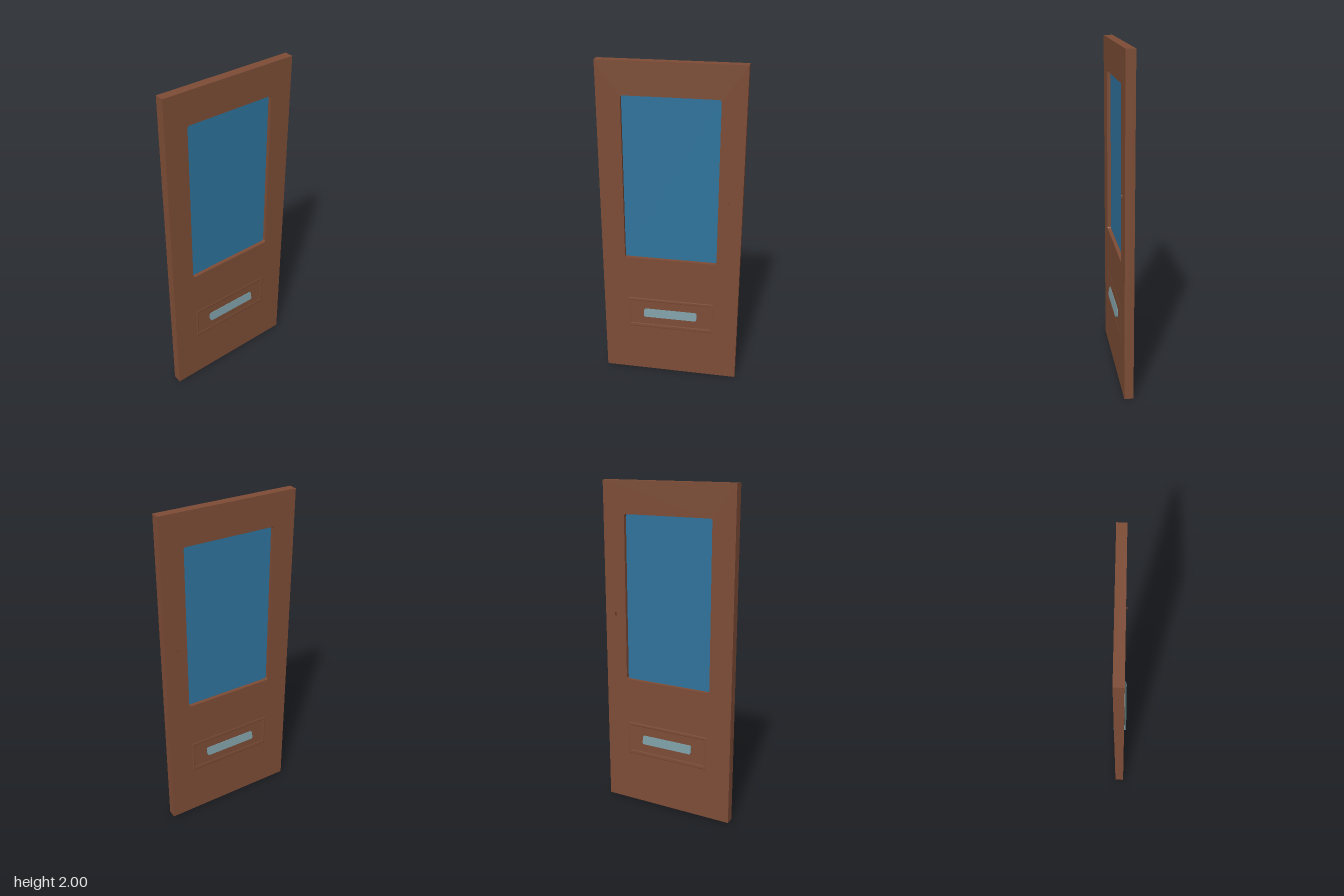
import * as THREE from 'three';

const flat = (name, color) => new THREE.MeshStandardMaterial({ name, color });
const wood = flat('brown wood', 0x7d4c36);
const glass = flat('blue glass', 0x2e739c);
const metal = flat('grey metal', 0x78979f);
const keyMetal = flat('dark brown metal', 0x6b402e);
keyMetal.side = THREE.DoubleSide;

// Rectangle outline with rounded corners, usable as a shape or a hole
function roundedRect(x0, y0, x1, y1, r, Type = THREE.Shape) {
  const s = new Type();
  s.moveTo(x0 + r, y0);
  s.lineTo(x1 - r, y0).quadraticCurveTo(x1, y0, x1, y0 + r);
  s.lineTo(x1, y1 - r).quadraticCurveTo(x1, y1, x1 - r, y1);
  s.lineTo(x0 + r, y1).quadraticCurveTo(x0, y1, x0, y1 - r);
  s.lineTo(x0, y0 + r).quadraticCurveTo(x0, y0, x0 + r, y0);
  return s;
}

function rect(x0, y0, x1, y1, Type = THREE.Shape) {
  return new Type([[x0, y0], [x1, y0], [x1, y1], [x0, y1]].map(p => new THREE.Vector2(...p)));
}

function add(group, name, geometry, material) {
  const mesh = new THREE.Mesh(geometry, material);
  mesh.name = name;
  group.add(mesh);
  return mesh;
}

// Fittings for one face of the door; dir = 1 puts the keyhole on +x
function makeFittings(keySide) {
  const g = new THREE.Group();

  // Shallow ridged frame around the letter slot
  const frame = rect(-0.262, 0.323, 0.262, 0.523);
  frame.holes.push(rect(-0.257, 0.338, 0.257, 0.513, THREE.Path));
  const frameGeo = new THREE.ExtrudeGeometry(frame, {
    depth: 0.001, bevelEnabled: true, bevelSegments: 1, bevelSize: 0.008, bevelThickness: 0.002,
  });
  frameGeo.translate(0, 0, 0.0255);
  add(g, 'panelMoulding', frameGeo, wood);

  // Letter flap: thin at the top, leaning outwards at the bottom
  const bottom = 0.403, top = 0.456;
  const flapGeo = new THREE.ExtrudeGeometry(roundedRect(-0.166, bottom, 0.166, top, 0.012), {
    depth: 1, bevelEnabled: false, curveSegments: 3,
  });
  const p = flapGeo.attributes.position;
  for (let i = 0; i < p.count; i++) {
    const t = (p.getY(i) - bottom) / (top - bottom);
    p.setZ(i, p.getZ(i) > 0.5 ? THREE.MathUtils.lerp(0.0415, 0.03, t) : 0.026);
  }
  flapGeo.computeVertexNormals();
  add(g, 'letterFlap', flapGeo, metal);

  // Keyhole rim, a small open oval ring
  const rim = new THREE.CylinderGeometry(0.005, 0.005, 0.006, 12, 1, true);
  rim.rotateX(Math.PI / 2).scale(1, 2.5, 1).translate(0.343 * keySide, 1.215, 0.033);
  add(g, 'keyholeRim', rim, keyMetal);
  return g;
}

export function createModel() {
  const door = new THREE.Group();
  door.name = 'door';

  // Door leaf with window opening
  const leaf = rect(-0.418, 0, 0.418, 2);
  leaf.holes.push(roundedRect(-0.279, 0.81, 0.279, 1.81, 0.015, THREE.Path));
  const leafGeo = new THREE.ExtrudeGeometry(leaf, { depth: 0.054, bevelEnabled: false, curveSegments: 4 });
  add(door, 'doorLeaf', leafGeo.translate(0, 0, -0.027), wood);

  // Window pane set back in the opening
  add(door, 'windowPane', new THREE.BoxGeometry(0.564, 1.006, 0.01), glass).position.y = 1.31;

  // Same fittings on both faces, keyholes lined up
  const front = makeFittings(1);
  front.name = 'frontFittings';
  const back = makeFittings(-1);
  back.name = 'backFittings';
  back.rotation.y = Math.PI;
  door.add(front, back);
  return door;
}
